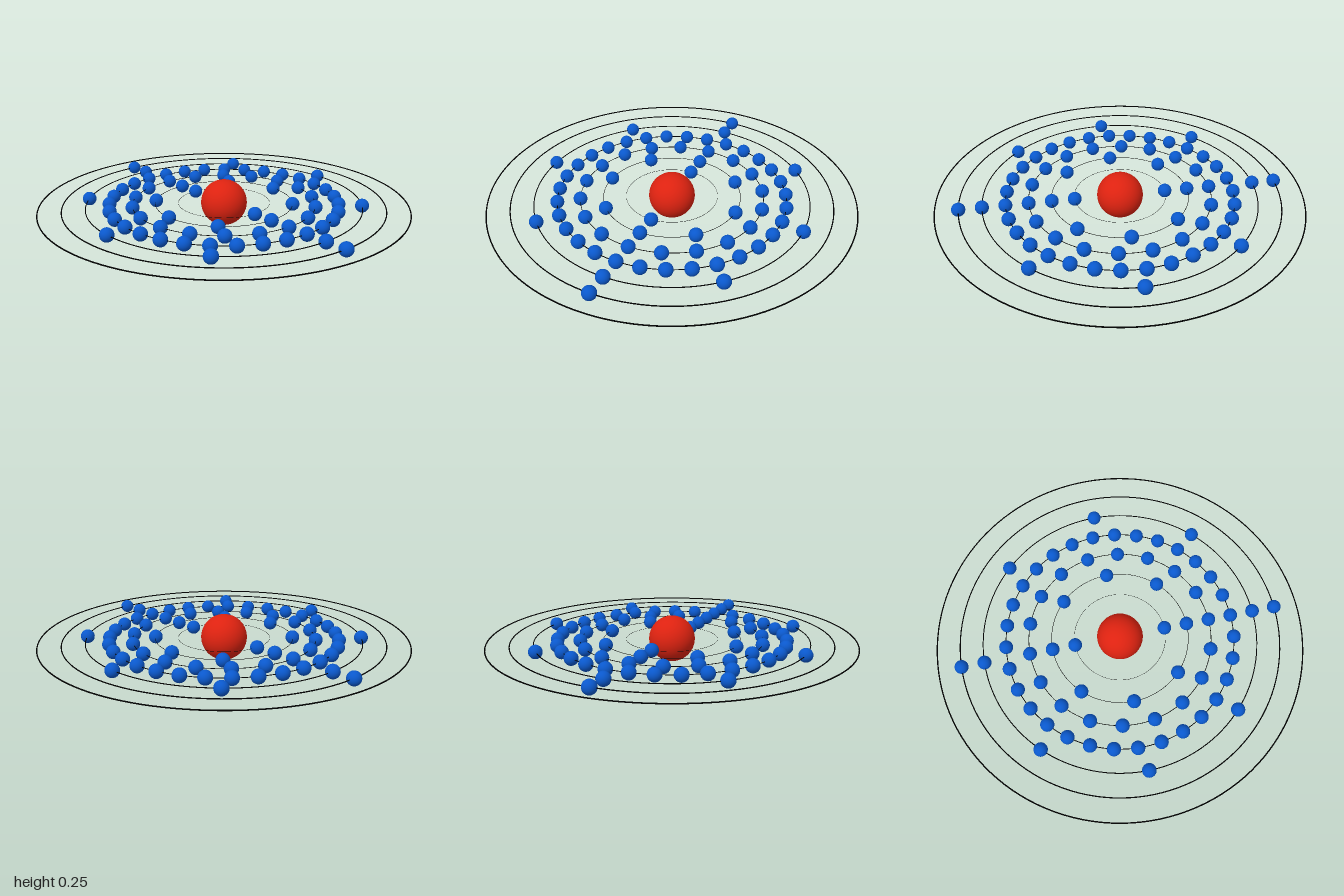
import * as THREE from 'three';

const STEP = 0.1245;                          // distance between neighbouring shells
const SHELLS = [2, 8, 18, 31, 8, 2, 0];       // electrons per shell; the last is an empty outer ring
const CENTRE_Y = 0.125;

export function createModel() {
  const atom = new THREE.Group();
  atom.name = 'atomModel';
  const paint = (color) => new THREE.MeshStandardMaterial({ color });
  const red = paint(0xdd2210), blue = paint(0x0a58cc), black = paint(0x000000);

  const add = (parent, name, geometry, material) => {
    const mesh = new THREE.Mesh(geometry, material);
    mesh.name = name;
    parent.add(mesh);
    return mesh;
  };

  // Nucleus
  add(atom, 'nucleus', new THREE.SphereGeometry(0.125, 48, 32), red).position.y = CENTRE_Y;

  // Flat concentric shells, each an orbit ring carrying evenly spaced electrons
  const electronGeometry = new THREE.SphereGeometry(0.0375, 24, 16);
  SHELLS.forEach((count, i) => {
    const radius = STEP * (i + 2);
    const shell = new THREE.Group();
    shell.name = `shell${i + 1}`;
    shell.position.y = CENTRE_Y;
    atom.add(shell);

    // Ring thickness grows with its radius
    const ring = new THREE.TorusGeometry(radius, 0.0035 * radius, 8, 128).rotateX(Math.PI / 2);
    add(shell, 'orbitRing', ring, black);

    for (let k = 0; k < count; k++) {
      const angle = (k / count) * Math.PI * 2;
      add(shell, 'electron', electronGeometry, blue)
        .position.set(radius * Math.sin(angle), 0, radius * Math.cos(angle));
    }
  });

  return atom;
}
